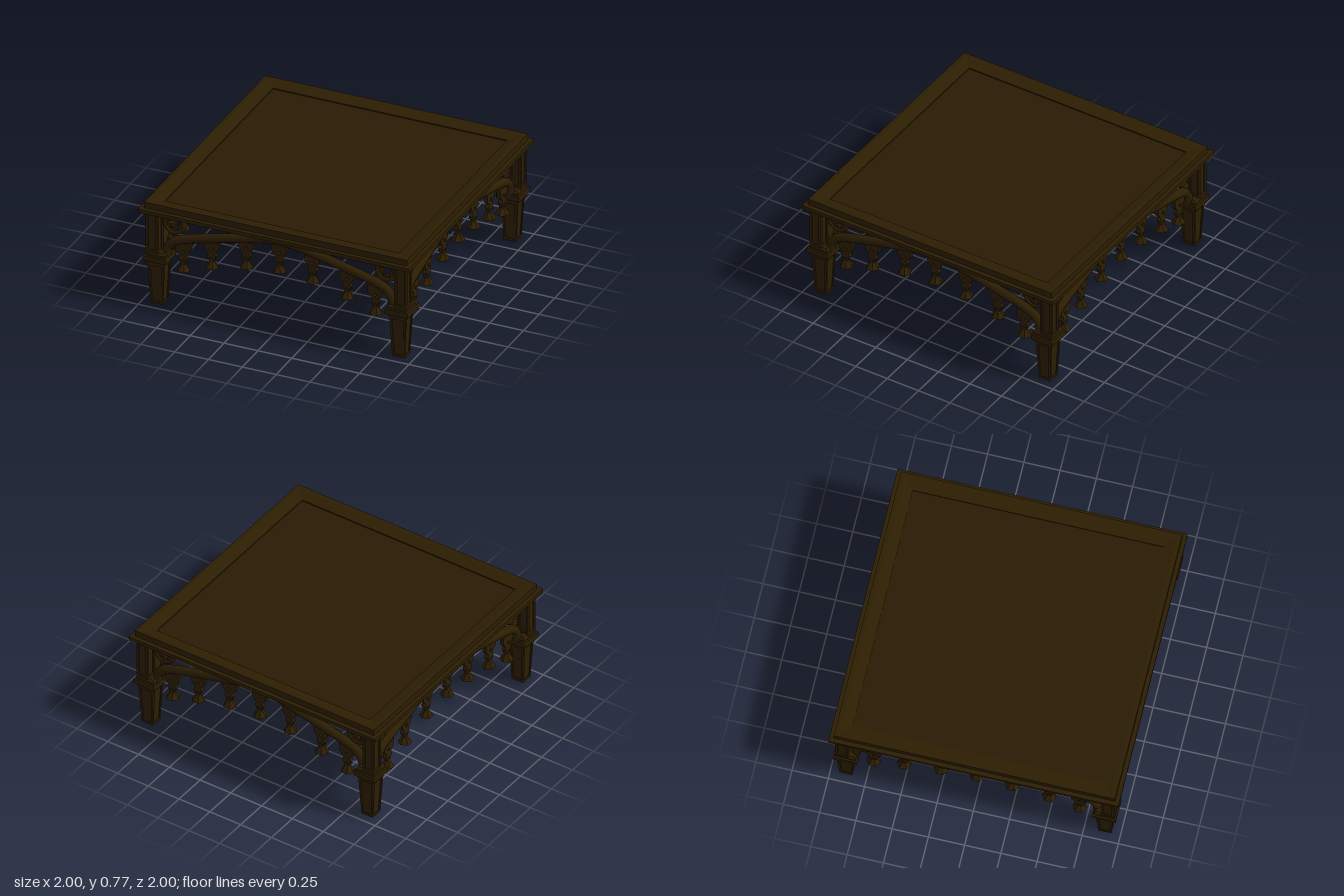
import * as THREE from 'three';
import { mergeGeometries } from 'three/addons/utils/BufferGeometryUtils.js';

const mat = (name, color) => {
  const m = new THREE.MeshStandardMaterial({ color });
  m.name = name;
  return m;
};

export function createModel() {
  const wood = mat('carved wood', 0x2d1e02);
  const panelWood = mat('panel wood', 0x291a03);
  const underWood = mat('underside wood', 0x5c4230);
  const table = new THREE.Group();
  table.name = 'table';

  const add = (parent, name, geo, material, x = 0, y = 0, z = 0) => {
    const m = new THREE.Mesh(geo, material);
    m.name = name;
    m.position.set(x, y, z);
    parent.add(m);
    return m;
  };
  const box = (w, h, d, x = 0, y = 0, z = 0) => new THREE.BoxGeometry(w, h, d).translate(x, y, z);

  // Flat-faced solid turned from [radius, height] points
  const turned = (profile, sides) => {
    const g = new THREE.LatheGeometry(profile.map(([r, y]) => new THREE.Vector2(r, y)), sides)
      .rotateY(Math.PI / sides).toNonIndexed();
    g.computeVertexNormals();
    return g;
  };
  // Square moulding, profile given as [half width, height]
  const moulding = (profile) => turned(profile.map(([w, y]) => [w * Math.SQRT2, y]), 4);

  // Post with a sunken panel in each side, narrowing toward the foot
  const panelledPost = (bottom, top, h, border, depth) => {
    const parts = [box(top - 2 * depth, h, top - 2 * depth, 0, h / 2)];
    const c = (top - border) / 2;
    for (const sx of [-1, 1]) for (const sz of [-1, 1]) parts.push(box(border, h, border, sx * c, h / 2, sz * c));
    for (const y of [border / 2, h - border / 2]) parts.push(box(top, border, top, 0, y));
    const g = mergeGeometries(parts);
    const p = g.attributes.position;
    for (let i = 0; i < p.count; i++) {
      const s = THREE.MathUtils.lerp(bottom / top, 1, p.getY(i) / h);
      p.setX(i, p.getX(i) * s);
      p.setZ(i, p.getZ(i) * s);
    }
    g.computeVertexNormals();
    return g;
  };

  // Table top: wide lower moulding, frame sloping in to a sunken panel
  const top = new THREE.Group();
  top.name = 'tableTop';
  table.add(top);
  add(top, 'lowerMoulding', box(2, 0.028, 2), wood, 0, 0.716, 0);
  add(top, 'topFrame', moulding([[0.97, 0.728], [0.97, 0.775], [0.94, 0.775], [0.865, 0.755], [0.865, 0.744]]), wood);
  add(top, 'topPanel', box(1.73, 0.02, 1.73), panelWood, 0, 0.737, 0);
  add(top, 'undersidePanel', box(1.64, 0.006, 1.64), underWood, 0, 0.7, 0);

  // Legs
  const footGeo = panelledPost(0.09, 0.122, 0.31, 0.018, 0.009);
  const postGeo = panelledPost(0.09, 0.09, 0.31, 0.018, 0.01);
  const collarGeo = moulding([
    [0, 0.308], [0.062, 0.308], [0.075, 0.328], [0.084, 0.332], [0.084, 0.368],
    [0.073, 0.37], [0.073, 0.384], [0.06, 0.402], [0, 0.402],
  ]);
  for (const sx of [-1, 1]) for (const sz of [-1, 1]) {
    const leg = new THREE.Group();
    leg.name = 'leg';
    leg.position.set(sx * 0.893, 0, sz * 0.893);
    table.add(leg);
    add(leg, 'foot', footGeo, wood);
    add(leg, 'collar', collarGeo, wood);
    add(leg, 'post', postGeo, wood, sx * 0.025, 0.395, sz * 0.025);
  }

  // Arched rail
  const half = [[0.835, 0.37], [0.825, 0.43], [0.785, 0.48], [0.7, 0.517], [0.5, 0.57], [0.25, 0.629], [0.1, 0.658]];
  const archPoints = [
    ...half.map(([x, y]) => new THREE.Vector3(-x, y, 0)),
    new THREE.Vector3(0, 0.664, 0),
    ...half.slice().reverse().map(([x, y]) => new THREE.Vector3(x, y, 0)),
  ];
  const archGeo = new THREE.TubeGeometry(new THREE.CatmullRomCurve3(archPoints), 72, 0.032, 10);

  // Pierced hanger and faceted drop, measured up from the tip
  const side = [[0.014, 0.075], [0.034, 0.115], [0.024, 0.14], [0.054, 0.175], [0.06, 0.235]];
  const hanger = new THREE.Shape([
    ...side.map(([x, y]) => new THREE.Vector2(x, y)),
    ...side.slice().reverse().map(([x, y]) => new THREE.Vector2(-x, y)),
  ]);
  hanger.holes.push(new THREE.Path().moveTo(0, 0.15).lineTo(-0.014, 0.178).lineTo(0.014, 0.178).closePath());
  const hangerGeo = new THREE.ExtrudeGeometry(hanger, { depth: 0.03, bevelEnabled: false }).translate(0, 0, -0.015);
  const dropGeo = turned([[0, 0], [0.014, 0.022], [0.05, 0.026], [0.014, 0.078], [0.022, 0.1], [0, 0.118]], 6);

  // Corner roundel: ring with a star-shaped piercing
  const disc = new THREE.Shape().absarc(0, 0, 0.075, 0, Math.PI * 2);
  const star = [];
  for (let i = 0; i < 10; i++) {
    const a = Math.PI / 2 + i * Math.PI / 5, r = i % 2 ? 0.026 : 0.047;
    star.push(new THREE.Vector2(r * Math.cos(a), r * Math.sin(a)));
  }
  disc.holes.push(new THREE.Path(star));
  const discGeo = new THREE.ExtrudeGeometry(disc, { depth: 0.02, bevelEnabled: false, curveSegments: 20 }).translate(0, 0, -0.01);
  const ringGeo = new THREE.TorusGeometry(0.067, 0.019, 8, 28);

  // One decorated apron on each side
  for (let i = 0; i < 4; i++) {
    const apron = new THREE.Group();
    apron.name = 'apron';
    apron.rotation.y = i * Math.PI / 2;
    table.add(apron);
    add(apron, 'archedRail', archGeo, wood, 0, 0, 0.9);
    for (const [x, y] of [[0, 0.41], [0.245, 0.387], [0.5, 0.325], [0.71, 0.255]]) {
      for (const s of x ? [-1, 1] : [1]) {
        add(apron, 'pendantHanger', hangerGeo, wood, s * x, y, 0.9);
        add(apron, 'pendantDrop', dropGeo, wood, s * x, y, 0.9);
      }
    }
    for (const s of [-1, 1]) {
      add(apron, 'roundelRing', ringGeo, wood, s * 0.783, 0.614, 0.885);
      add(apron, 'roundelStar', discGeo, wood, s * 0.783, 0.614, 0.885);
    }
  }
  return table;
}
